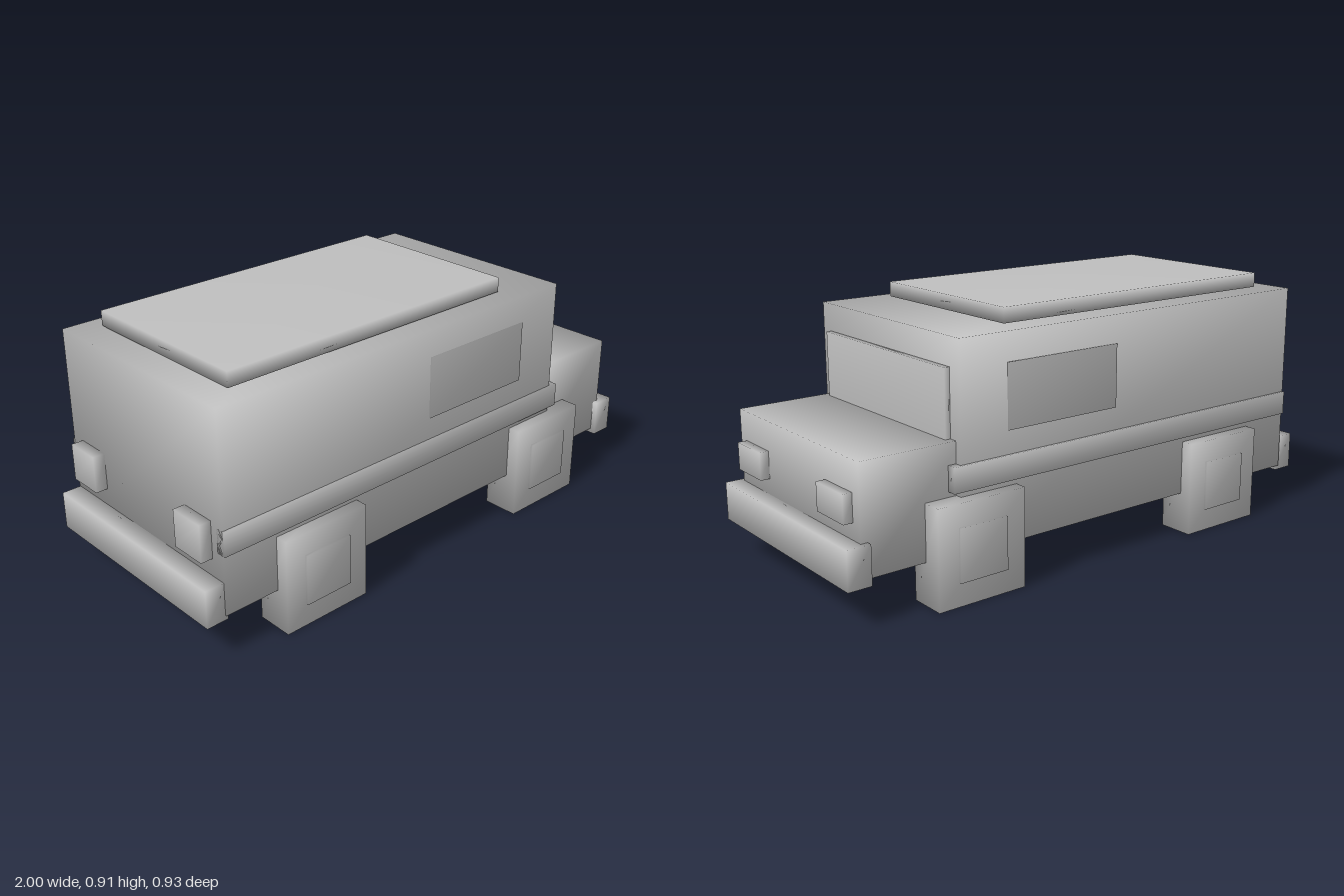
import * as THREE from 'three';
import { mergeVertices } from 'three/addons/utils/BufferGeometryUtils.js';

const grey = new THREE.MeshStandardMaterial({ color: 0xbfbfbf });
grey.name = 'plain grey';

// Box given by its limits on each axis; shared corners give soft shading
function block(name, [x0, x1], [y0, y1], [z0, z1]) {
  let geometry = new THREE.BoxGeometry(x1 - x0, y1 - y0, z1 - z0);
  geometry.deleteAttribute('normal');
  geometry.deleteAttribute('uv');
  geometry = mergeVertices(geometry);
  geometry.computeVertexNormals();
  const mesh = new THREE.Mesh(geometry, grey);
  mesh.name = name;
  mesh.position.set((x0 + x1) / 2, (y0 + y1) / 2, (z0 + z1) / 2);
  return mesh;
}

export function createModel() {
  const van = new THREE.Group();
  van.name = 'van';
  const add = (...args) => van.add(block(...args));

  // One block on each side of the van
  const addPair = (name, x, y, [z0, z1]) => {
    add(name + 'Left', x, y, [z0, z1]);
    add(name + 'Right', x, y, [-z1, -z0]);
  };

  // Cabin, bonnet and floating roof panel
  add('body', [-0.93, 0.59], [0.147, 0.847], [-0.412, 0.412]);
  add('bonnet', [0.56, 0.94], [0.147, 0.52], [-0.388, 0.388]);
  add('roofPanel', [-0.827, 0.36], [0.853, 0.906], [-0.335, 0.335]);

  // Glass and waist trim
  add('windscreen', [0.58, 0.61], [0.5, 0.75], [-0.36, 0.36]);
  addPair('sideWindow', [-0.055, 0.405], [0.527, 0.748], [0.4, 0.417]);
  addPair('waistTrim', [-0.93, 0.62], [0.36, 0.446], [0.385, 0.421]);

  // Bumpers and lamps
  add('frontBumper', [0.915, 1.0], [0.13, 0.264], [-0.407, 0.407]);
  add('rearBumper', [-1.0, -0.92], [0.13, 0.264], [-0.407, 0.407]);
  addPair('headlight', [0.93, 0.973], [0.32, 0.416], [0.189, 0.348]);
  addPair('tailLight', [-0.973, -0.925], [0.328, 0.46], [0.225, 0.357]);

  // Square wheels with hubs
  for (const [end, x] of [['rear', -0.558], ['front', 0.54]]) {
    addPair(end + 'Wheel', [x - 0.169, x + 0.169], [0, 0.342], [0.324, 0.457]);
    addPair(end + 'Hub', [x - 0.092, x + 0.092], [0.082, 0.264], [0.44, 0.467]);
  }
  return van;
}
